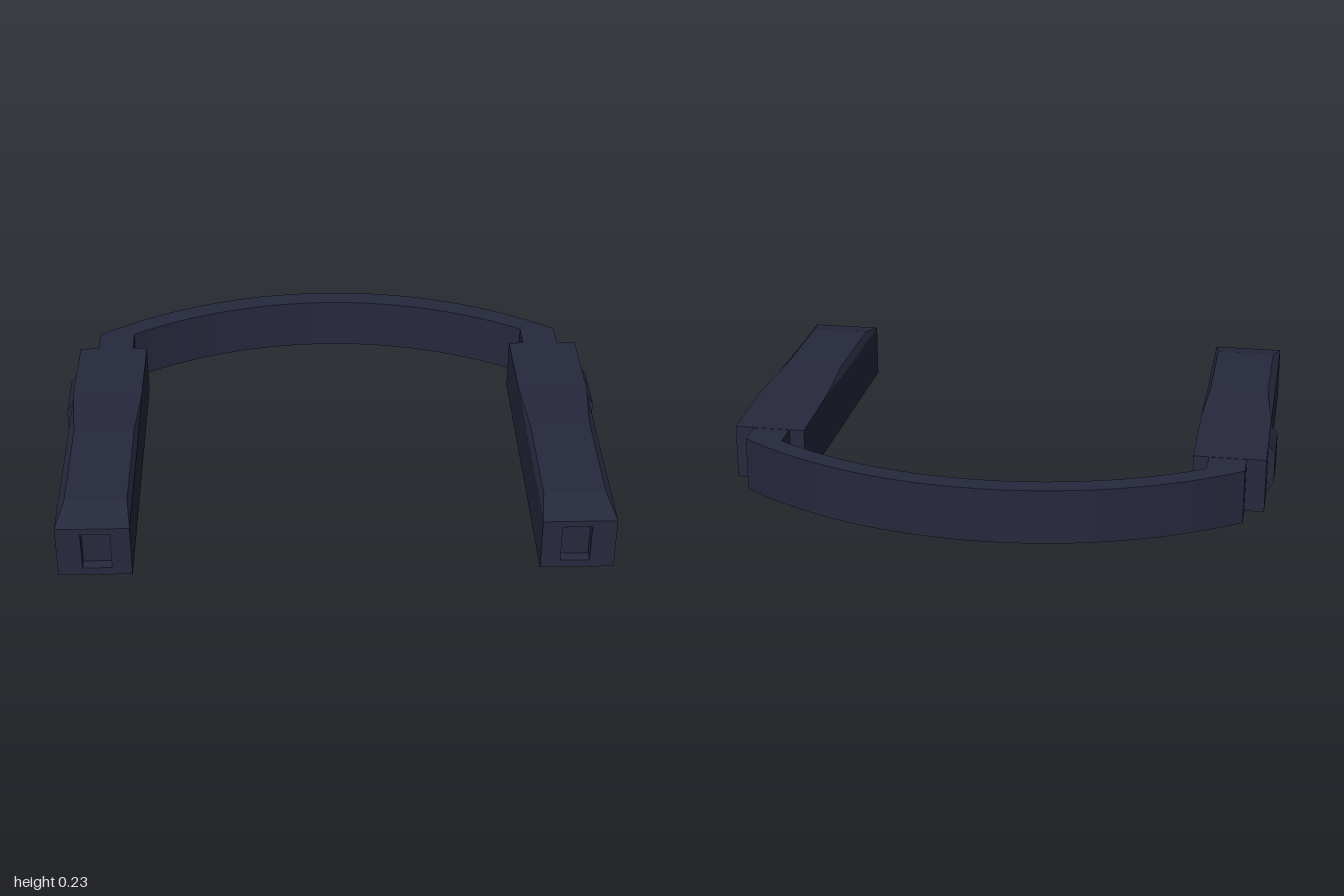
import * as THREE from 'three';

const material = new THREE.MeshStandardMaterial({ color: 0x26283d });
const recessMaterial = new THREE.MeshStandardMaterial({ color: 0x26283d, side: THREE.BackSide });

function mesh(name, geometry, mat = material) {
  const m = new THREE.Mesh(geometry, mat);
  m.name = name;
  return m;
}

// Flat-faced skin through equal-length rings (counter-clockwise seen from +z, ordered back to front)
function loft(rings) {
  const pos = [];
  const tri = (a, b, c) => pos.push(...a, ...b, ...c);
  const n = rings[0].length;
  for (let i = 0; i < rings.length - 1; i++) {
    for (let j = 0; j < n; j++) {
      const k = (j + 1) % n;
      tri(rings[i][j], rings[i][k], rings[i + 1][k]);
      tri(rings[i][j], rings[i + 1][k], rings[i + 1][j]);
    }
  }
  for (let j = 1; j < n - 1; j++) tri(rings[0][0], rings[0][j + 1], rings[0][j]);
  const g = new THREE.BufferGeometry();
  g.setAttribute('position', new THREE.Float32BufferAttribute(pos, 3));
  g.computeVertexNormals();
  return g;
}

const rectPoints = (x0, y0, x1, y1) =>
  [[x0, y0], [x1, y0], [x1, y1], [x0, y1]].map(([x, y]) => new THREE.Vector2(x, y));

function createArm() {
  const arm = new THREE.Group();
  const inner = 0.715, outer = 0.975, front = 0.79;

  // Long body with a raised, chamfered top: [z, top height, chamfer amount]
  const sections = [[-0.38, 0.2, 0], [-0.03, 0.214, 0], [0.23, 0.226, 1], [0.66, 0.226, 1], [front, 0.2, 0]];
  arm.add(mesh('armBody', loft(sections.map(([z, h, c]) => [
    [inner, 0, z], [outer, 0, z], [outer, 0.2, z],
    [outer - 0.025 * c, h, z], [inner + 0.015 * c, h, z], [inner, 0.2, z],
  ]))));

  // Front face with a rectangular socket
  const face = new THREE.Shape(rectPoints(inner, 0, outer, 0.2));
  face.holes.push(new THREE.Path(rectPoints(0.785, 0.03, 0.888, 0.175)));
  arm.add(mesh('armFrontFace', new THREE.ShapeGeometry(face).translate(0, 0, front)));
  const socket = new THREE.BoxGeometry(0.103, 0.145, 0.04).translate(0.8365, 0.1025, front - 0.02);
  arm.add(mesh('armSocket', socket, recessMaterial));

  // Bevelled pad on the outer side
  const pad = new THREE.Shape([[0.96, 0], [0.972, 0], [1, 0.045], [1, 0.155], [0.972, 0.197], [0.96, 0.197]]
    .map(([x, y]) => new THREE.Vector2(x, y)));
  const padGeometry = new THREE.ExtrudeGeometry(pad, { depth: 0.2, bevelEnabled: false });
  arm.add(mesh('sidePad', padGeometry.translate(0, 0, -0.21)));
  return arm;
}

// Curved rear band with straight ends that meet the arms
function createBand() {
  const arc = (halfWidth, apex, end, steps = 28) => {
    const sag = apex - end;
    const r = (halfWidth ** 2 + sag ** 2) / (2 * sag);
    const a = Math.asin(halfWidth / r);
    return Array.from({ length: steps + 1 }, (_, i) => {
      const t = a - (2 * a * i) / steps;
      return new THREE.Vector2(r * Math.sin(t), apex - r + r * Math.cos(t));
    });
  };
  const v = (x, y) => new THREE.Vector2(x, y);
  const shape = new THREE.Shape([
    v(0.905, 0.37), ...arc(0.905, 0.79, 0.485), v(-0.905, 0.37),
    v(-0.77, 0.37), ...arc(0.77, 0.712, 0.485).reverse(), v(0.77, 0.37),
  ]);
  const g = new THREE.ExtrudeGeometry(shape, { depth: 0.199, bevelEnabled: false });
  return mesh('rearBand', g.rotateX(-Math.PI / 2));
}

export function createModel() {
  const model = new THREE.Group();
  model.name = 'neckband';
  for (const [name, side] of [['leftArm', 1], ['rightArm', -1]]) {
    const arm = createArm();
    arm.name = name;
    arm.scale.x = side;
    model.add(arm);
  }
  model.add(createBand());
  return model;
}
